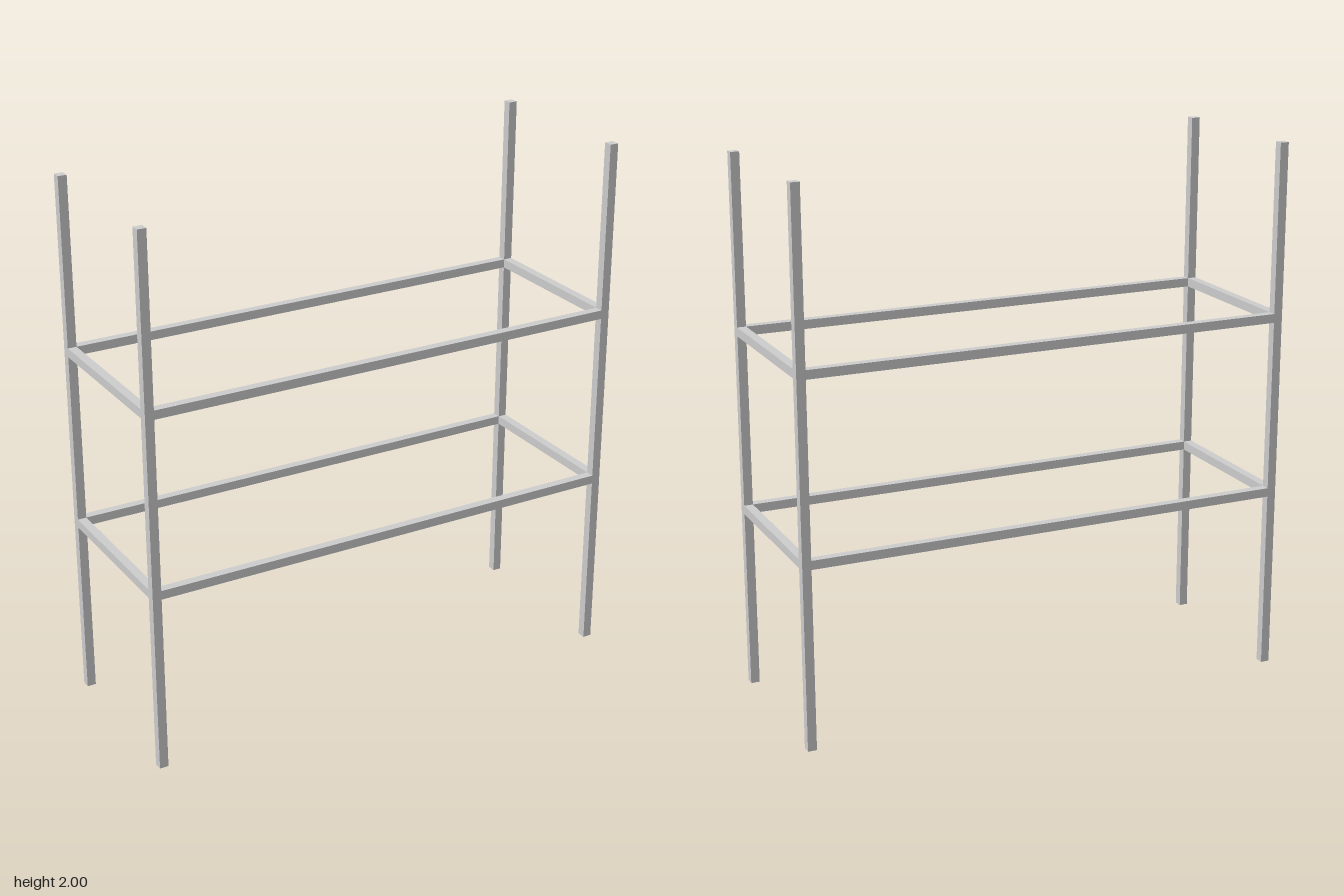
import * as THREE from 'three';

const BAR = 0.033;               // square bar thickness
const HEIGHT = 2;
const X = 0.917, Z = 0.317;      // post centre offsets
const RAIL_HEIGHTS = [0.687, 1.357];

export function createModel() {
  const group = new THREE.Group();
  group.name = 'rackFrame';
  const material = new THREE.MeshStandardMaterial({ color: 0xcccccc });

  const addBar = (name, size, position) => {
    const bar = new THREE.Mesh(new THREE.BoxGeometry(...size), material);
    bar.name = name;
    bar.position.set(...position);
    group.add(bar);
  };

  // Four corner posts
  for (const sx of [-1, 1]) {
    for (const sz of [-1, 1]) {
      const name = (sz > 0 ? 'front' : 'back') + (sx > 0 ? 'Left' : 'Right') + 'Post';
      addBar(name, [BAR, HEIGHT, BAR], [sx * X, HEIGHT / 2, sz * Z]);
    }
  }

  // Two rectangular tiers of rails, fitted between the posts
  RAIL_HEIGHTS.forEach((y, i) => {
    const tier = i === 0 ? 'lower' : 'upper';
    for (const s of [-1, 1]) {
      addBar(tier + (s > 0 ? 'Front' : 'Back') + 'Rail', [2 * X - BAR, BAR, BAR], [0, y, s * Z]);
      addBar(tier + (s > 0 ? 'Left' : 'Right') + 'Rail', [BAR, BAR, 2 * Z - BAR], [s * X, y, 0]);
    }
  });

  return group;
}
